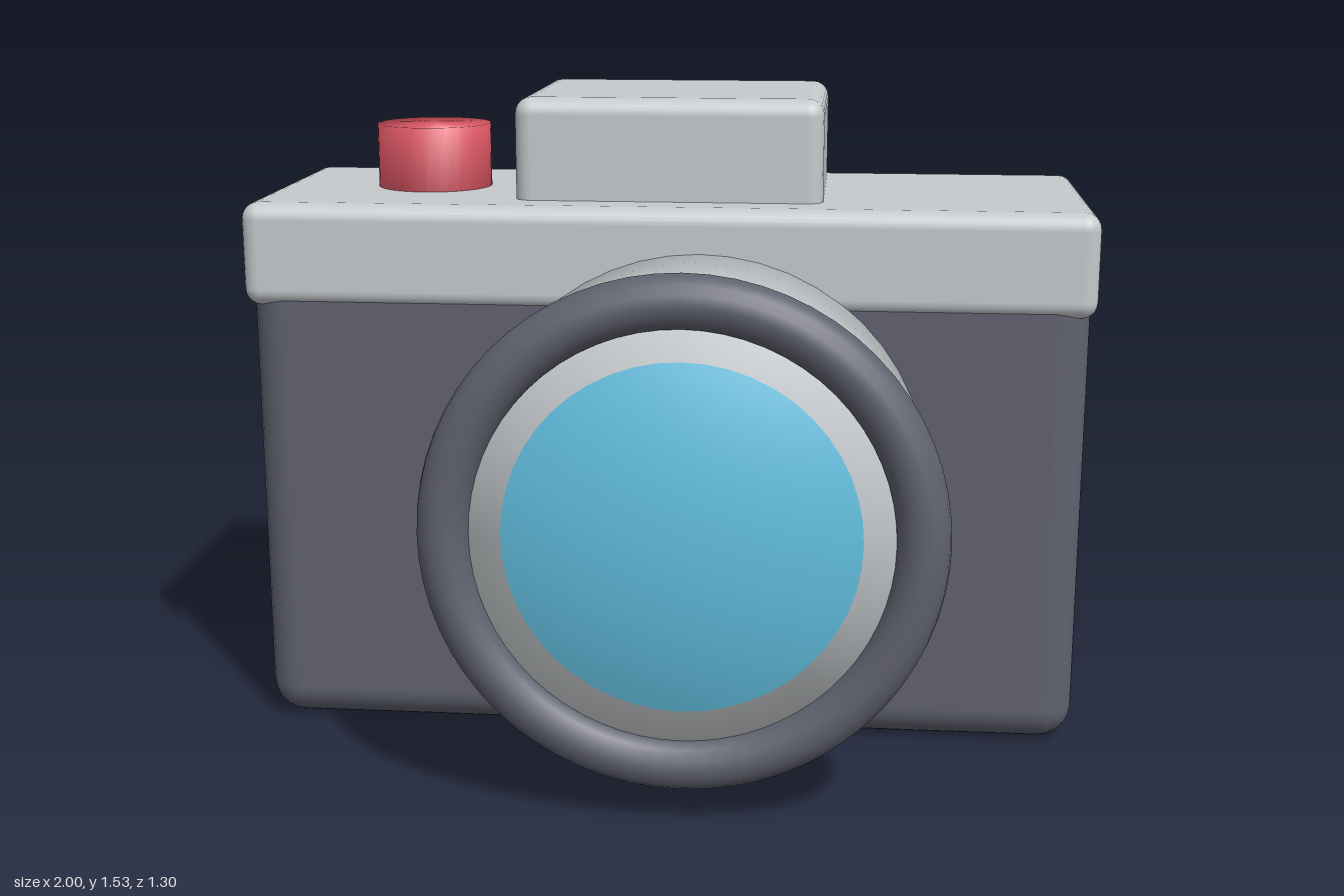
import * as THREE from 'three';
import { mergeVertices } from 'three/addons/utils/BufferGeometryUtils.js';
import { RoundedBoxGeometry } from 'three/addons/geometries/RoundedBoxGeometry.js';

const material = (name, color) => {
  const m = new THREE.MeshStandardMaterial({ color });
  m.name = name;
  return m;
};

// Rounded box given by its lower and upper corners
function roundedBox(name, mat, min, max, radius, segments) {
  const size = max.map((v, i) => v - min[i]);
  const mesh = new THREE.Mesh(new RoundedBoxGeometry(...size, segments, radius), mat);
  mesh.name = name;
  mesh.position.set(...max.map((v, i) => (v + min[i]) / 2));
  return mesh;
}

// Capped cylinder whose normals flow softly over the rim
function softCylinder(radius, height, segments) {
  const g = new THREE.CylinderGeometry(radius, radius, height, segments);
  g.deleteAttribute('normal');
  g.deleteAttribute('uv');
  const merged = mergeVertices(g, 1e-4);
  merged.computeVertexNormals();
  return merged;
}

export function createModel() {
  const dark = material('charcoal', 0x60626f);
  const silver = material('silver', 0xc6cacd);
  const red = material('red', 0xdf5866);
  const blue = material('lens blue', 0x62bfe0);

  const camera = new THREE.Group();
  camera.name = 'camera';

  // Casing: dark body, silver top plate and viewfinder hump
  camera.add(
    roundedBox('body', dark, [-0.99, 0, -0.64], [0.99, 1.2, 0.09], 0.085, 3),
    roundedBox('topPlate', silver, [-1, 1.045, -0.65], [1, 1.29, 0.1], 0.04, 3),
    roundedBox('viewfinderHump', silver, [-0.365, 1.15, -0.62], [0.365, 1.53, -0.02], 0.04, 3),
  );

  // Shutter button, partly sunk into the top plate
  const button = new THREE.Mesh(softCylinder(0.14, 0.2, 32), red);
  button.name = 'shutterButton';
  button.position.set(-0.605, 1.345, -0.28);
  camera.add(button);

  // Lens assembly: barrel, rim and domed glass
  const lens = new THREE.Group();
  lens.name = 'lens';
  lens.position.set(0.085, 0.65, 0);

  const barrelFront = 0.585;
  const barrel = new THREE.Mesh(softCylinder(0.537, 0.55, 48), silver);
  barrel.name = 'lensBarrel';
  barrel.rotation.x = Math.PI / 2;
  barrel.position.z = barrelFront - 0.275;

  const rim = new THREE.Mesh(new THREE.TorusGeometry(0.516, 0.06, 16, 64), dark);
  rim.name = 'lensRim';
  rim.position.z = 0.567;

  const glassRadius = 0.39, dome = 0.065;
  const sphere = (glassRadius ** 2 + dome ** 2) / (2 * dome);
  const glass = new THREE.Mesh(
    new THREE.SphereGeometry(sphere, 48, 10, 0, Math.PI * 2, 0, Math.asin(glassRadius / sphere)), blue);
  glass.name = 'lensGlass';
  glass.rotation.x = Math.PI / 2;
  glass.position.z = barrelFront + dome - sphere + 0.002;

  lens.add(barrel, rim, glass);
  camera.add(lens);
  return camera;
}
